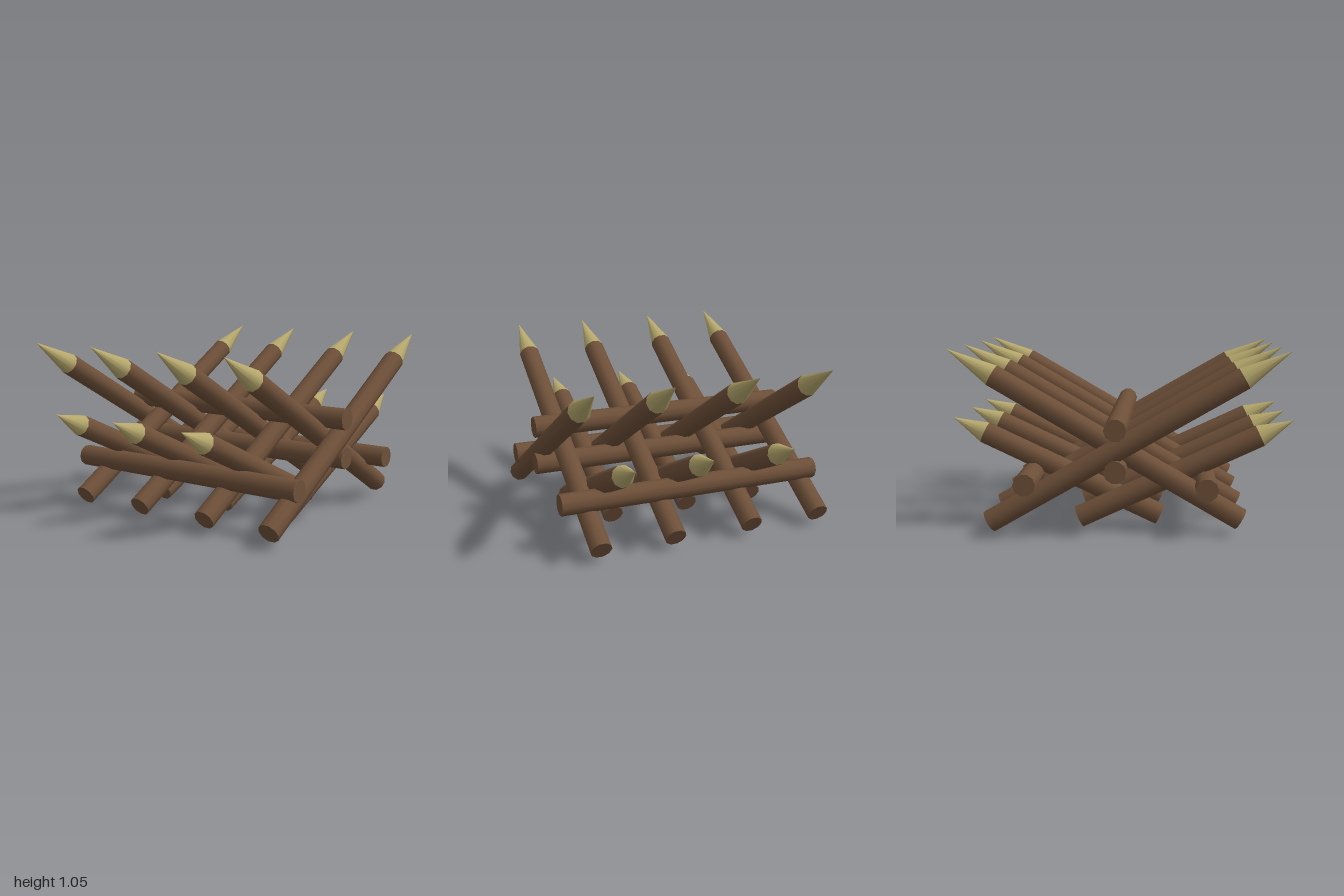
import * as THREE from 'three';

const R = 0.064, SIDES = 10;
const bark = new THREE.MeshStandardMaterial({ color: 0x6e5039 });
const cutWood = new THREE.MeshStandardMaterial({ color: 0xb5a76c });

// A sharpened log lying in the y-z plane; points are [z, y]
function makeStake(name, x, foot, neck, tip) {
  const stake = new THREE.Group();
  stake.name = name;
  const dz = neck[0] - foot[0], dy = neck[1] - foot[1];
  const length = Math.hypot(dz, dy);
  const tipLength = Math.hypot(tip[0] - neck[0], tip[1] - neck[1]);

  const shaft = new THREE.Mesh(
    new THREE.CylinderGeometry(R, R, length, SIDES, 1, false, Math.PI / 2), bark);
  shaft.name = 'shaft';
  shaft.position.y = length / 2;

  const point = new THREE.Mesh(
    new THREE.ConeGeometry(R, tipLength, SIDES, 1, false, Math.PI / 2), cutWood);
  point.name = 'sharpenedTip';
  point.position.y = length + tipLength / 2;

  stake.add(shaft, point);
  stake.position.set(x, foot[1], foot[0]);
  stake.rotation.x = Math.atan2(dz, dy);
  return stake;
}

export function createModel() {
  const model = new THREE.Group();
  model.name = 'spikedBarricade';

  // Crossing rows of stakes: two long rows, two short rows
  const rows = [
    { name: 'longFrontStake', xs: [-0.75, -0.3, 0.19, 0.64],
      foot: [-0.718, 0.091], neck: [0.697, 0.906], tip: [0.955, 1.053] },
    { name: 'longBackStake', xs: [-0.635, -0.182, 0.305, 0.745],
      foot: [0.697, 0.091], neck: [-0.713, 0.906], tip: [-0.972, 1.053] },
    { name: 'shortFrontStake', xs: [-0.545, -0.095, 0.397],
      foot: [-0.23, 0.075], neck: [0.807, 0.559], tip: [1.0, 0.647] },
    { name: 'shortBackStake', xs: [-0.402, 0.09, 0.54],
      foot: [0.236, 0.059], neck: [-0.804, 0.545], tip: [-0.995, 0.628] },
  ];
  for (const { name, xs, foot, neck, tip } of rows)
    for (const x of xs) model.add(makeStake(name, x, foot, neck, tip));

  // Horizontal rails binding the rows together; [name, z, y]
  const rails = [
    ['upperRail', -0.008, 0.62], ['middleRail', -0.008, 0.388],
    ['frontRail', 0.5, 0.293], ['backRail', -0.513, 0.31],
  ];
  const railGeometry = new THREE.CylinderGeometry(R, R, 1.625, SIDES, 1, false, Math.PI / 2);
  railGeometry.rotateX(0).rotateY(Math.PI).rotateY(Math.PI / 2).rotateX(0);
  railGeometry.rotateZ(Math.PI / 2);
  for (const [name, z, y] of rails) {
    const rail = new THREE.Mesh(railGeometry, bark);
    rail.name = name;
    rail.position.set(0, y, z);
    model.add(rail);
  }
  return model;
}
